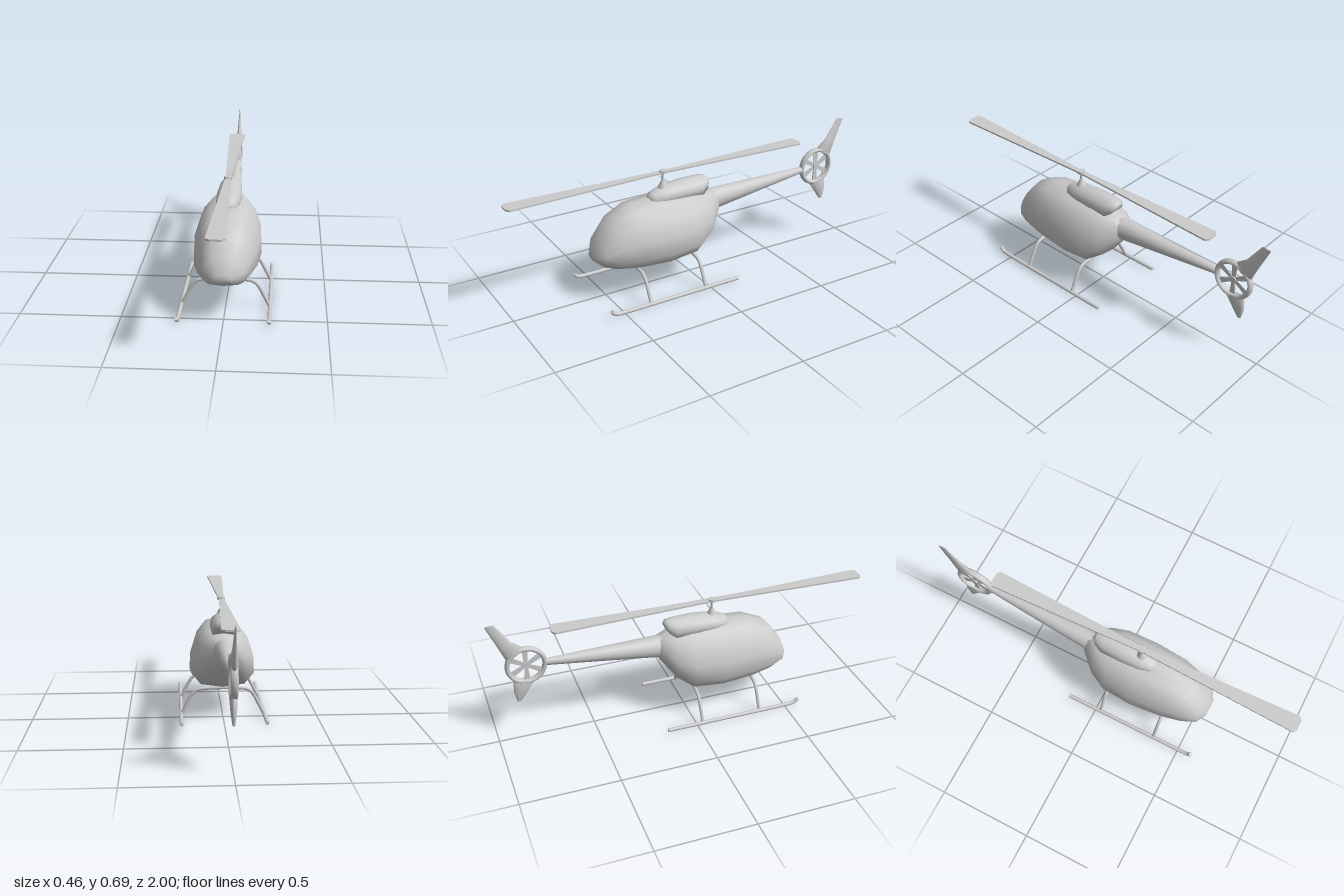
import * as THREE from 'three';

const material = new THREE.MeshStandardMaterial({ color: 0xcccccc });

// Skin a list of equal-length point rings, closing both ends
function loft(rings) {
  const n = rings[0].length, last = (rings.length - 1) * n;
  const points = rings.flat(), index = [];
  for (let i = 0; i < rings.length - 1; i++) {
    for (let j = 0; j < n; j++) {
      const a = i * n + j, b = i * n + (j + 1) % n;
      index.push(a, a + n, b, b, a + n, b + n);
    }
  }
  const centre = (ring) => ring.reduce((s, p) => s.add(p), new THREE.Vector3()).divideScalar(n);
  points.push(centre(rings[0]), centre(rings[rings.length - 1]));
  for (let j = 0; j < n; j++) {
    const k = (j + 1) % n;
    index.push(points.length - 2, j, k, points.length - 1, last + k, last + j);
  }
  const g = new THREE.BufferGeometry().setFromPoints(points);
  g.setIndex(index);
  g.computeVertexNormals();
  return g;
}

// Sections are [z, bottom, top, half width], each filled with a unit outline
function hull(outline, sections) {
  return loft(sections.map(([z, y0, y1, w]) => outline.map(([x, y]) =>
    new THREE.Vector3(x * w, (y0 + y1) / 2 + y * (y1 - y0) / 2, z))));
}

function circle(n) {
  return Array.from({ length: n }, (_, i) => {
    const a = i / n * Math.PI * 2;
    return [Math.cos(a), Math.sin(a)];
  });
}

// Sections are [front z, front y, back z, back y, half thickness], bottom to top
function fin(sections) {
  return loft(sections.map(([fz, fy, bz, by, t]) => circle(12).map(([c, s]) => {
    const k = (1 - s) / 2;
    return new THREE.Vector3(c * t, fy + (by - fy) * k, fz + (bz - fz) * k);
  })));
}

// Rounded-corner tube with closed ends
function rod(points, radius, segments) {
  const curve = new THREE.CatmullRomCurve3(points.map((p) => new THREE.Vector3(...p)), false, 'centripetal');
  const tube = new THREE.Group();
  tube.add(new THREE.Mesh(new THREE.TubeGeometry(curve, segments, radius, 10), material));
  for (const t of [0, 1]) {
    const cap = new THREE.Mesh(new THREE.CircleGeometry(radius, 10), material);
    cap.position.copy(curve.getPoint(t));
    cap.lookAt(cap.position.clone().addScaledVector(curve.getTangent(t), t ? 1 : -1));
    tube.add(cap);
  }
  return tube;
}

export function createModel() {
  const model = new THREE.Group();
  const add = (name, part, parent = model) => {
    const obj = part.isBufferGeometry ? new THREE.Mesh(part, material) : part;
    obj.name = name;
    parent.add(obj);
    return obj;
  };

  // Cabin: egg-shaped, fuller towards the bottom
  const rightHalf = [[0, -1], [0.7, -0.9], [1, -0.53], [0.98, -0.02], [0.81, 0.5], [0.5, 0.88], [0, 1]];
  const leftHalf = rightHalf.slice(1, -1).reverse().map(([x, y]) => [-x, y]);
  add('cabin', hull([...rightHalf, ...leftHalf], [
    [0.563, 0.215, 0.26, 0.045], [0.53, 0.19, 0.335, 0.1], [0.46, 0.166, 0.425, 0.132],
    [0.35, 0.15, 0.475, 0.157], [0.18, 0.142, 0.485, 0.172], [0.02, 0.157, 0.48, 0.165],
    [-0.07, 0.225, 0.465, 0.127], [-0.145, 0.33, 0.445, 0.06],
  ]));

  // Engine cowl on the roof
  const dome = [[0.95, -1], [1, -0.2], [0.85, 0.45], [0.42, 0.92], [0, 1],
    [-0.42, 0.92], [-0.85, 0.45], [-1, -0.2], [-0.95, -1]];
  add('engineCowl', hull(dome, [
    [0.24, 0.45, 0.495, 0.025], [0.22, 0.45, 0.51, 0.045], [0.16, 0.45, 0.53, 0.06],
    [0.05, 0.45, 0.541, 0.065], [-0.05, 0.45, 0.541, 0.06], [-0.09, 0.48, 0.537, 0.045],
    [-0.105, 0.5, 0.525, 0.025],
  ]));

  add('tailBoom', hull(circle(14), [
    [-0.08, 0.325, 0.45, 0.06], [-0.14, 0.333, 0.45, 0.057],
    [-0.43, 0.372, 0.447, 0.038], [-0.73, 0.41, 0.445, 0.016],
  ]));

  // Main rotor: flared mast, hub and two tapered blades
  const rotor = add('mainRotor', new THREE.Group());
  rotor.position.z = 0.155;
  const mastProfile = [[0.028, 0.52], [0.022, 0.535], [0.011, 0.555], [0.006, 0.57], [0.006, 0.608]];
  add('mast', new THREE.LatheGeometry(mastProfile.map((p) => new THREE.Vector2(...p)), 16), rotor);
  add('hub', new THREE.CylinderGeometry(0.02, 0.02, 0.014, 16), rotor).position.y = 0.608;
  const bladeShape = new THREE.Shape([[-0.013, 0], [0.013, 0], [0.044, 0.828], [0.025, 0.842],
    [-0.025, 0.842], [-0.044, 0.828]].map((p) => new THREE.Vector2(...p)));
  for (const turn of [0, Math.PI]) {
    const blade = new THREE.ExtrudeGeometry(bladeShape, { depth: 0.009, bevelEnabled: false });
    blade.rotateX(Math.PI / 2).rotateY(turn).translate(0, 0.609, 0);
    add('mainBlade', blade, rotor);
  }

  // Tail fan: open ring with six blades
  const fan = add('tailFan', new THREE.Group());
  fan.position.set(0, 0.43, -0.823);
  const ring = new THREE.TorusGeometry(0.094, 0.012, 10, 36).rotateY(Math.PI / 2).scale(1.5, 1, 1);
  add('fanRing', ring, fan);
  add('fanHub', new THREE.CylinderGeometry(0.017, 0.017, 0.02, 16).rotateZ(Math.PI / 2), fan);
  const fanShape = new THREE.Shape([[-0.008, 0], [0.008, 0], [0.015, 0.088], [-0.015, 0.088]]
    .map((p) => new THREE.Vector2(...p)));
  for (let i = 0; i < 6; i++) {
    const blade = new THREE.ExtrudeGeometry(fanShape, { depth: 0.006, bevelEnabled: false });
    blade.translate(0, 0, -0.003).rotateY(Math.PI / 2).rotateX(i * Math.PI / 3);
    add('fanBlade', blade, fan);
  }

  // Fins above and below the fan ring
  add('upperFin', fin([
    [-0.825, 0.53, -0.915, 0.472, 0.019], [-0.883, 0.578, -0.95, 0.56, 0.011],
    [-0.955, 0.685, -1, 0.68, 0.003],
  ]));
  add('lowerFin', fin([
    [-0.863, 0.225, -0.885, 0.225, 0.006], [-0.835, 0.265, -0.897, 0.283, 0.014],
    [-0.785, 0.335, -0.893, 0.355, 0.019],
  ]));

  // Landing gear: two skids with upturned toes, two arched cross tubes
  const gear = add('landingGear', new THREE.Group());
  for (const side of [1, -1]) {
    const x = 0.221 * side;
    add('skid', rod([[x, 0.01, -0.163], [x, 0.01, 0.2], [x, 0.01, 0.5], [x, 0.012, 0.54],
      [x, 0.02, 0.562], [x, 0.034, 0.575]], 0.01, 40), gear);
  }
  const halfArch = [[0.218, 0.01], [0.195, 0.055], [0.172, 0.1], [0.158, 0.122], [0.138, 0.139], [0.105, 0.147]];
  const arch = [...halfArch, ...halfArch.map(([x, y]) => [-x, y]).reverse()];
  for (const z of [0.352, 0.03]) {
    add('crossTube', rod(arch.map(([x, y]) => [x, y, z]), 0.009, 60), gear);
  }

  return model;
}
